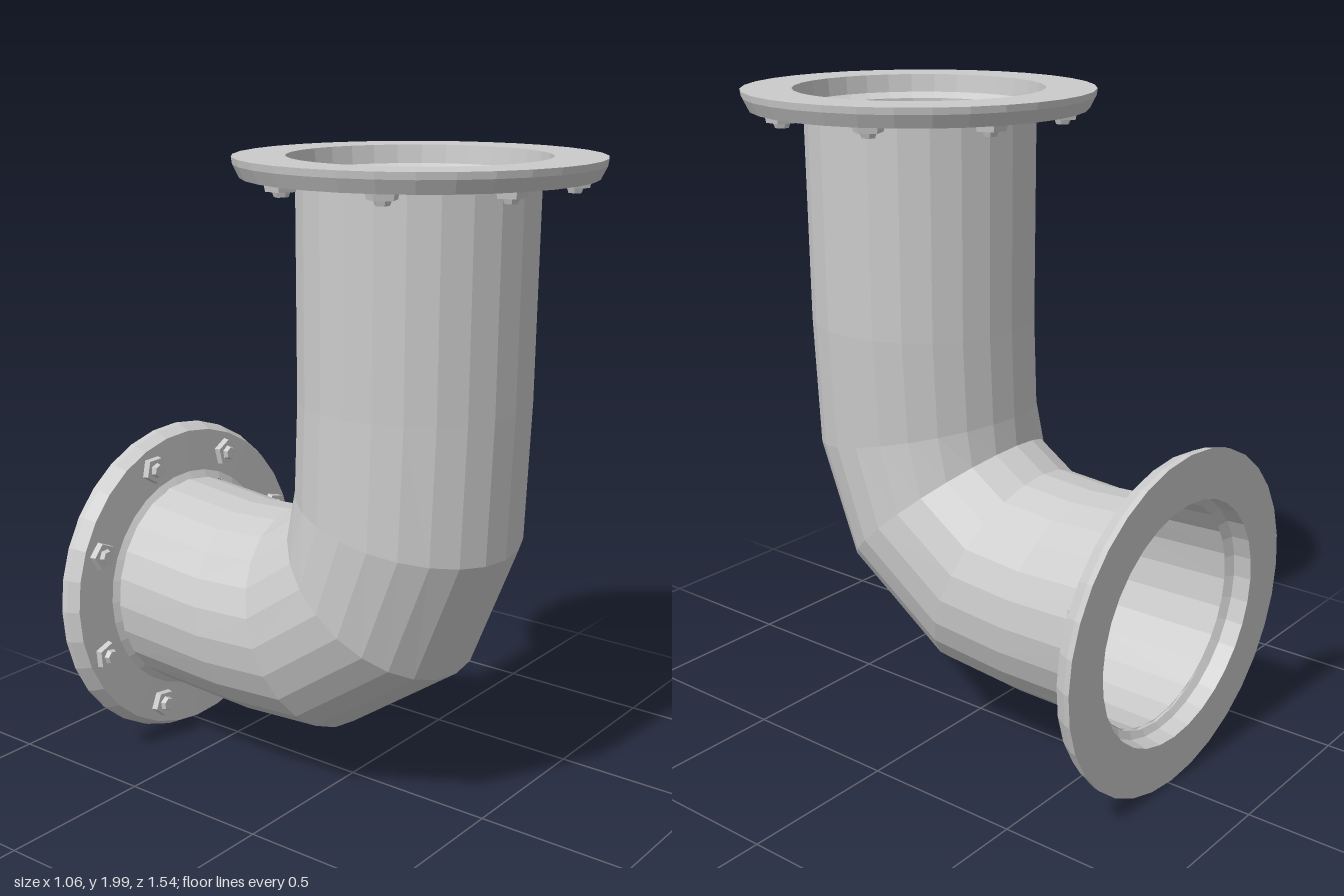
import * as THREE from 'three';

const material = new THREE.MeshStandardMaterial({
  color: 0xcccccc, flatShading: true, side: THREE.DoubleSide,
});

function part(geometry, name, y = 0) {
  const mesh = new THREE.Mesh(geometry, material);
  mesh.name = name;
  mesh.position.y = y;
  return mesh;
}

// Pipe wall lofted through rings: [centre x, x radius, outer z, outer y, inner z, inner y]
function createPipe() {
  const rings = [
    [-0.005, 0.348, 0.585, 1.93, -0.115, 1.93],
    [-0.008, 0.346, 0.580, 1.30, -0.113, 1.30],
    [-0.022, 0.344, 0.570, 0.87, -0.115, 1.03],
    [-0.025, 0.344, 0.410, 0.475, -0.122, 0.94],
    [-0.025, 0.345, 0.020, 0.205, -0.225, 0.872],
    [-0.020, 0.346, -0.270, 0.184, -0.400, 0.862],
    [-0.005, 0.348, -0.670, 0.190, -0.695, 0.885],
  ];
  const sides = 24, positions = [], index = [];
  rings.forEach(([x, r, oz, oy, iz, iy], row) => {
    for (let i = 0; i < sides; i++) {
      const a = (i / sides) * Math.PI * 2, t = (1 + Math.cos(a)) / 2;
      positions.push(x + r * Math.sin(a), iy + (oy - iy) * t, iz + (oz - iz) * t);
      if (row === 0) continue;
      const j = (i + 1) % sides, up = (row - 1) * sides, low = row * sides;
      index.push(up + i, low + i, low + j, up + i, low + j, up + j);
    }
  });
  const geometry = new THREE.BufferGeometry();
  geometry.setAttribute('position', new THREE.Float32BufferAttribute(positions, 3));
  geometry.setIndex(index);
  geometry.computeVertexNormals();
  return part(geometry, 'elbowPipe');
}

// Flange with its outer face at local y = 0 and bolts on the inner face
function createFlange(name, position, normal) {
  const group = new THREE.Group();
  group.name = name;
  const profile = [
    [0.37, -0.06], [0.508, -0.058], [0.527, -0.02], [0.53, 0],
    [0.378, 0], [0.372, -0.055], [0.345, -0.072],
  ].map(([x, y]) => new THREE.Vector2(x, y));
  group.add(part(new THREE.LatheGeometry(profile, 32), 'flangeRing'));

  const nut = new THREE.CylinderGeometry(0.048, 0.044, 0.022, 5);
  const stud = new THREE.CylinderGeometry(0.026, 0.02, 0.016, 6);
  for (let i = 0; i < 8; i++) {
    const a = ((i + 0.5) / 8) * Math.PI * 2;
    const bolt = new THREE.Group();
    bolt.name = 'bolt';
    bolt.add(part(nut, 'nut', -0.068), part(stud, 'stud', -0.086));
    bolt.position.set(0.44 * Math.cos(a), 0, 0.44 * Math.sin(a));
    bolt.rotation.y = -a;
    group.add(bolt);
  }
  group.position.copy(position);
  group.quaternion.setFromUnitVectors(new THREE.Vector3(0, 1, 0), normal.normalize());
  return group;
}

export function createModel() {
  const model = new THREE.Group();
  model.name = 'pipeElbow';
  model.add(
    createPipe(),
    createFlange('topFlange', new THREE.Vector3(0, 2, 0.235), new THREE.Vector3(0, 1, 0)),
    // The back flange sits slightly tilted
    createFlange('backFlange', new THREE.Vector3(0, 0.535, -0.745), new THREE.Vector3(0.033, -0.038, -1)),
  );
  return model;
}
